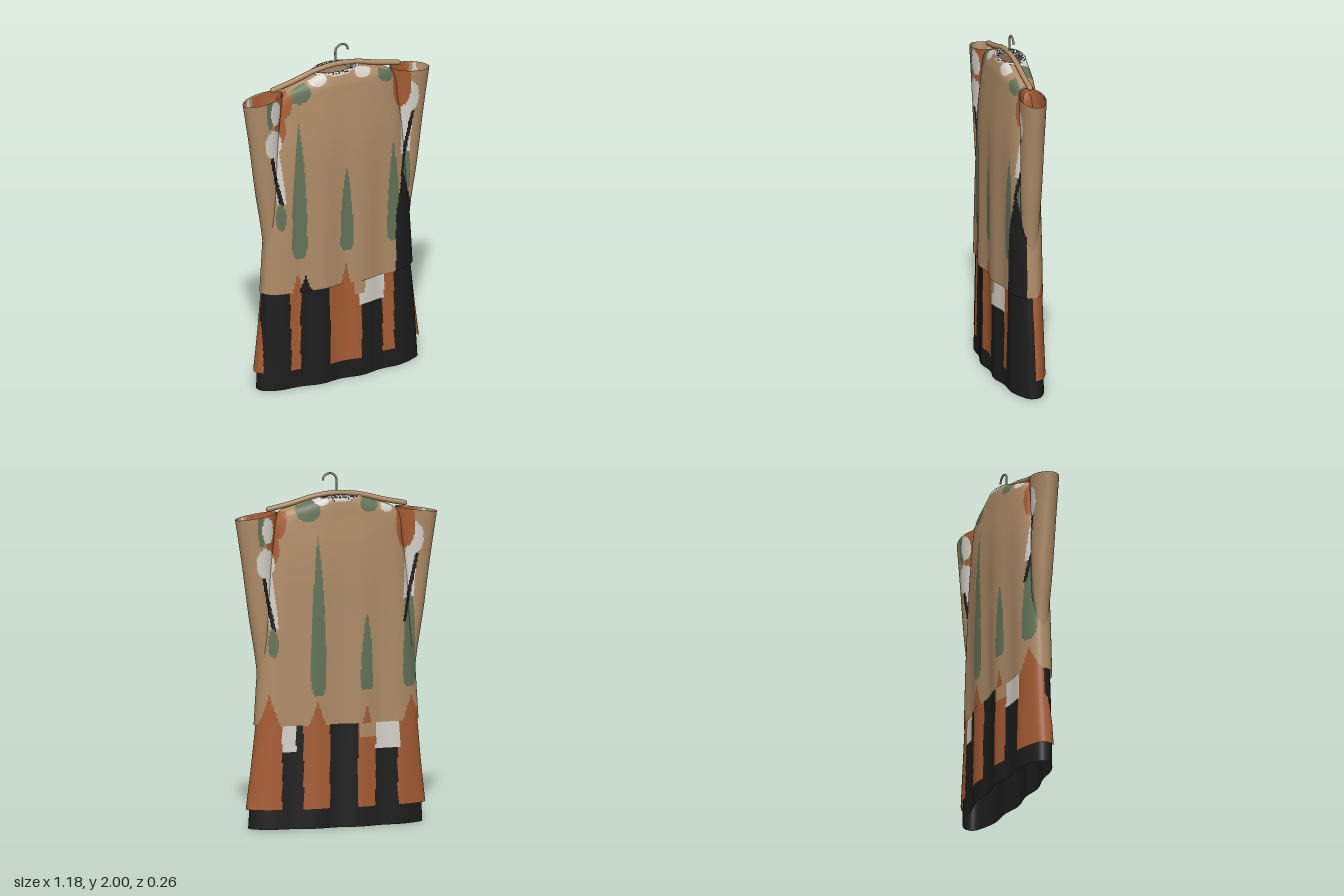
import * as THREE from 'three';

const flat = (name, color) => {
  const m = new THREE.MeshStandardMaterial({ color, side: THREE.DoubleSide });
  m.name = name;
  return m;
};

const TAN = 0, BLACK = 1, RUST = 2, WHITE = 3, GREEN = 4;

// Cloth tube through rows of [y, centre x, half width, front depth, back depth, tilt].
// paint(x, y, z, i, j) picks the colour of each small quad; null leaves a gap.
function cloth(name, mats, rows, paint, { around = 280, step = 0.012, even = 0, ez = 1, fold = 0, turn = 1 } = {}) {
  const times = [0];
  for (let k = 1; k < rows.length; k++) {
    times.push(times[k - 1] + Math.hypot(rows[k][0] - rows[k - 1][0], rows[k][2] - rows[k - 1][2]));
  }
  const spline = new THREE.CubicInterpolant(times, rows.flat(), 6, new Float32Array(6));
  const length = times[times.length - 1];
  const n = Math.ceil(length / step);
  const pos = [];
  for (let j = 0; j <= n; j++) {
    const [y, cx, rx, front, back, tilt] = spline.evaluate(length * j / n);
    const soft = fold * THREE.MathUtils.clamp((1.8 - y) / 0.9, 0, 1);
    for (let i = 0; i < around; i++) {
      const t = i / around * Math.PI * 2, a = t + even * Math.sin(2 * t);
      const c = Math.cos(a), s = Math.sin(a);
      const x = cx + rx * c;
      const z = (s > 0 ? front : back) * Math.sign(s) * Math.abs(s) ** ez
        + soft * s * Math.cos(24 * x - Math.sign(s) * 2.6);
      pos.push(turn * x, y + tilt * c, turn * z);
    }
  }
  const lists = mats.map(() => []);
  for (let j = 0; j < n; j++) {
    for (let i = 0; i < around; i++) {
      const i2 = (i + 1) % around;
      const a = j * around + i, b = j * around + i2, c = b + around, d = a + around;
      const mid = k => (pos[a * 3 + k] + pos[b * 3 + k] + pos[c * 3 + k] + pos[d * 3 + k]) / 4;
      const colour = paint(mid(0), mid(1), mid(2), i, j);
      if (colour !== null) lists[colour].push(a, d, b, b, d, c);
    }
  }
  const geo = new THREE.BufferGeometry();
  geo.setAttribute('position', new THREE.Float32BufferAttribute(pos, 3));
  geo.setIndex(lists.flat());
  let start = 0;
  lists.forEach((list, k) => {
    if (list.length) geo.addGroup(start, list.length, k);
    start += list.length;
  });
  geo.computeVertexNormals();
  const mesh = new THREE.Mesh(geo, mats);
  mesh.name = name;
  return mesh;
}

// Pattern shapes; u runs to the viewer's right on both front and back
const leaf = (colour, cx, y0, y1, w) => (u, y) => {
  const t = (y - y0) / (y1 - y0);
  if (t < 0 || t > 1) return null;
  return Math.abs(u - cx) < w * Math.min(1, 0.6 + t * 6) * (1 - t ** 2.3) ? colour : null;
};
const spike = (colour, cx, y1, w) => (u, y) =>
  y < y1 && Math.abs(u - cx) < w * ((y1 - y) / (y1 - 0.585)) ** 1.2 ? colour : null;
const spot = (colour, cx, cy, rx, ry) => (u, y) =>
  ((u - cx) / rx) ** 2 + ((y - cy) / ry) ** 2 < 1 ? colour : null;
const stripe = (colour, x0, y0, x1, y1, w) => (u, y) => {
  const t = (y - y0) / (y1 - y0);
  return t > 0 && t < 1 && Math.abs(u - x0 - (x1 - x0) * t) < w ? colour : null;
};

// Shoulder motifs on both faces; later ones lie on top
const shoulders = [
  stripe(GREEN, -0.47, 1.78, -0.455, 1.6, 0.016),
  spot(RUST, -0.365, 1.76, 0.055, 0.12), spot(RUST, -0.39, 1.59, 0.038, 0.1),
  spot(WHITE, -0.42, 1.69, 0.035, 0.075),
  stripe(WHITE, -0.42, 1.48, -0.385, 1.13, 0.024), spot(WHITE, -0.432, 1.505, 0.055, 0.085),
  stripe(BLACK, -0.443, 1.43, -0.385, 1.12, 0.011), spot(GREEN, -0.39, 1.05, 0.027, 0.08),
  leaf(GREEN, 0.41, 1.05, 1.42, 0.035), stripe(WHITE, 0.43, 1.6, 0.405, 1.28, 0.032),
  stripe(BLACK, 0.457, 1.53, 0.38, 1.15, 0.01),
  spot(WHITE, 0.443, 1.615, 0.052, 0.09), spot(RUST, 0.39, 1.69, 0.055, 0.13),
];
const frontMotifs = [
  leaf(GREEN, -0.285, 0.79, 1.63, 0.045), leaf(GREEN, 0.005, 0.79, 1.3, 0.04), leaf(GREEN, 0.318, 0.78, 1.38, 0.046),
  spot(GREEN, -0.27, 1.78, 0.07, 0.06), spot(GREEN, 0.3, 1.79, 0.065, 0.05),
  spot(WHITE, -0.15, 1.84, 0.055, 0.035), spot(WHITE, 0.14, 1.84, 0.055, 0.038),
  spike(RUST, -0.295, 0.71, 0.035), spike(RUST, 0, 0.72, 0.03), spike(BLACK, -0.25, 0.68, 0.04),
  ...shoulders,
];
const backMotifs = [
  leaf(GREEN, -0.14, 0.75, 1.67, 0.045), leaf(GREEN, 0.145, 0.77, 1.22, 0.04), leaf(GREEN, 0.41, 0.78, 1.35, 0.045),
  spot(GREEN, -0.19, 1.8, 0.07, 0.065), spot(GREEN, 0.17, 1.82, 0.055, 0.045),
  spot(WHITE, 0.28, 1.8, 0.04, 0.03), spot(WHITE, -0.11, 1.85, 0.04, 0.025),
  spike(RUST, -0.145, 0.73, 0.05), spike(RUST, -0.415, 0.77, 0.06), spike(RUST, 0.42, 0.74, 0.06),
  spike(RUST, 0.145, 0.7, 0.03),
  ...shoulders,
];

function topPaint(x, y, z) {
  const front = z >= 0, u = front ? x : -x;
  // plain ridge along the shoulders
  if (y > 1.78 && Math.abs(z) < 0.03 && Math.abs(x) < 0.33) return TAN;
  let colour = TAN;
  for (const m of front ? frontMotifs : backMotifs) colour = m(u, y) ?? colour;
  // tall dark wedge on the left front
  if (z > 0.03 && y < 1.19) {
    const t = Math.min(1, (1.19 - y) / 0.28);
    if (u > 0.385 - 0.055 * t && u < 0.385 + 0.085 * t) colour = BLACK;
  }
  return colour;
}

// Panels below the hem as [from, to, lower edge, colour]; the first match wins, gaps show the underskirt
const frontPanels = [
  [0.08, 0.12, 0.51, TAN], [0.08, 0.255, 0.44, WHITE], [0.055, 0.1, 0.51, TAN],
  [-0.34, -0.275, 0, RUST], [-0.105, 0.1, 0, RUST], [0.24, 0.32, 0, RUST], [-0.6, -0.487, 0, RUST],
];
const backPanels = [
  [0.1, 0.2, 0.51, TAN], [0.2, 0.345, 0.44, WHITE], [-0.345, -0.265, 0.44, WHITE],
  [-0.225, -0.07, 0, RUST], [0.09, 0.2, 0, RUST], [0.33, 0.6, 0, RUST], [-0.6, -0.345, 0, RUST],
];
function panelPaint(x, y, z) {
  const u = z >= 0 ? x : -x;
  const hit = (z >= 0 ? frontPanels : backPanels).find(([a, b, low]) => u > a && u < b && y > low);
  return hit ? hit[3] : null;
}

export function createModel() {
  const group = new THREE.Group();
  const mats = [
    flat('tan cloth', 0xb08d68), flat('black cloth', 0x1e1e1e), flat('rust cloth', 0xa75d34),
    flat('off white cloth', 0xd6d2ca), flat('sage green cloth', 0x647459),
  ];
  const metal = flat('grey metal', 0x94908a);
  const body = { even: 0.2, ez: 0.76, fold: 0.009 };

  // Underskirt and panels
  group.add(cloth('underskirt', mats, [
    [0, 0.005, 0.508, 0.108, 0.117, 0], [0.3, 0.003, 0.49, 0.108, 0.114, 0], [0.64, 0, 0.462, 0.108, 0.112, 0],
  ], () => BLACK, { ...body, step: 0.05 }));
  group.add(cloth('skirtPanels', mats, [
    [0.11, 0.005, 0.525, 0.12, 0.124, 0], [0.35, 0.003, 0.497, 0.117, 0.121, 0], [0.6, 0, 0.472, 0.115, 0.118, 0],
  ], panelPaint, body));

  // Tunic body, closing over the shoulders to the neck
  group.add(cloth('tunic', mats, [
    [0.585, 0, 0.48, 0.122, 0.122, 0], [0.9, 0, 0.46, 0.122, 0.122, 0], [1.2, 0, 0.435, 0.122, 0.122, 0],
    [1.45, 0, 0.41, 0.118, 0.121, 0], [1.62, 0, 0.385, 0.104, 0.114, 0], [1.74, 0, 0.37, 0.09, 0.103, 0],
    [1.785, 0, 0.34, 0.085, 0.1, 0], [1.815, 0, 0.275, 0.078, 0.098, 0], [1.842, 0, 0.19, 0.07, 0.096, 0],
    [1.86, -0.003, 0.135, 0.064, 0.094, 0],
  ], topPaint, body));

  // Speckled collar
  group.add(cloth('collar', mats, [
    [1.845, -0.003, 0.15, 0.071, 0.099, 0], [1.865, -0.003, 0.138, 0.064, 0.094, 0],
    [1.862, -0.003, 0.115, 0.05, 0.075, 0], [1.845, -0.003, 0.1, 0.042, 0.062, 0],
  ], (x, y, z, i, j) => (Math.abs(Math.sin(i * 12.9898 + j * 78.233) * 43758.5) % 1 < (j > 3 ? 0.65 : 0.25) ? BLACK : WHITE),
  { around: 96, step: 0.009 }));

  // Open sleeves with linings, the second turned half round
  for (const turn of [1, -1]) {
    const side = turn > 0 ? 'left' : 'right';
    group.add(cloth(side + 'Sleeve', mats, [
      [0.65, 0.42, 0.035, 0.035, 0.035, 0], [0.9, 0.42, 0.046, 0.045, 0.045, 0],
      [1.2, 0.445, 0.066, 0.06, 0.058, 0], [1.5, 0.463, 0.088, 0.064, 0.066, -0.005],
      [1.77, 0.47, 0.121, 0.072, 0.075, -0.018],
    ], topPaint, { around: 90, step: 0.013, turn }));
    group.add(cloth(side + 'SleeveLining', mats, [
      [1.1, 0.437, 0.05, 0.045, 0.045, 0], [1.5, 0.463, 0.082, 0.058, 0.06, -0.005],
      [1.765, 0.47, 0.115, 0.066, 0.069, -0.018],
    ], x => {
      const d = Math.abs(x);
      if (d < 0.5) return RUST;
      return d > 0.525 && d < 0.545 ? WHITE : TAN;
    }, { around: 64, step: 0.03, turn }));
  }

  // Hanger
  const v = (x, y) => new THREE.Vector3(x, y, -0.008);
  const bar = new THREE.CatmullRomCurve3(
    [v(-0.4, 1.806), v(-0.28, 1.831), v(-0.13, 1.869), v(0, 1.882), v(0.13, 1.869), v(0.28, 1.831), v(0.4, 1.806)]);
  const hanger = new THREE.Mesh(new THREE.TubeGeometry(bar, 60, 0.015, 12), mats[TAN]);
  hanger.name = 'hangerBar';
  group.add(hanger);
  for (const x of [-0.4, 0.4]) {
    const tip = new THREE.Mesh(new THREE.SphereGeometry(0.015, 12, 8), mats[TAN]);
    tip.name = 'hangerTip';
    tip.position.copy(v(x, 1.806));
    group.add(tip);
  }
  const hookPath = [v(0, 1.88), v(0, 1.92)];
  for (let k = 0; k <= 8; k++) {
    const a = Math.PI * (1 - k / 8);
    hookPath.push(v(0.04 + 0.04 * Math.cos(a), 1.955 + 0.039 * Math.sin(a)));
  }
  const hook = new THREE.Mesh(
    new THREE.TubeGeometry(new THREE.CatmullRomCurve3(hookPath), 40, 0.006, 8), metal);
  hook.name = 'hangerHook';
  group.add(hook);

  return group;
}
